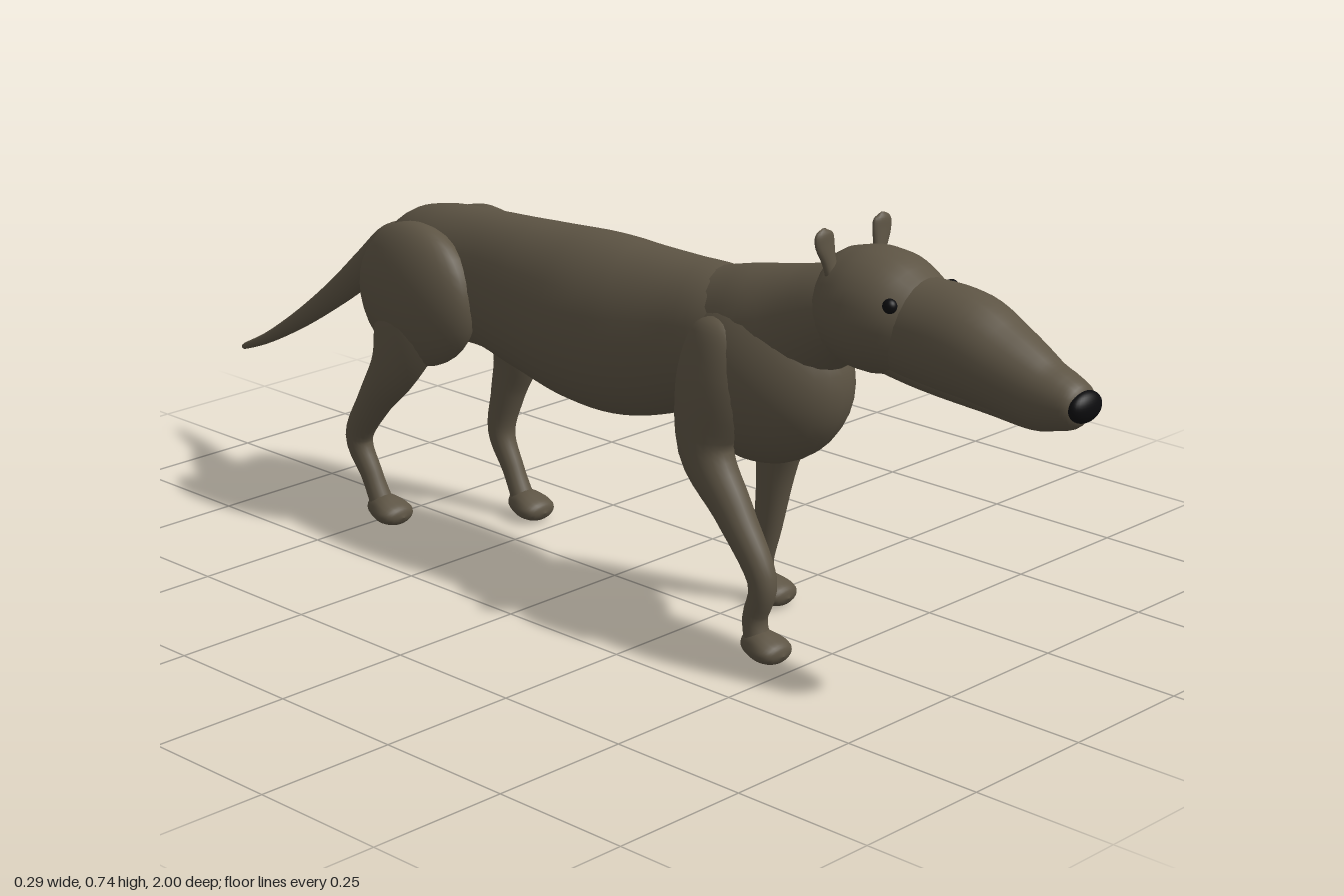
import * as THREE from 'three';

const fur = new THREE.MeshStandardMaterial({ color: 0x5d5444 });
fur.name = 'fur';
const black = new THREE.MeshStandardMaterial({ color: 0x0c0c0e });
black.name = 'black';

// Smooth closed skin through elliptical rows [x, y, z, halfWidth, halfDepth]
function loft(name, rows, steps = 5, sides = 24) {
  const path = new THREE.CatmullRomCurve3(rows.map(r => new THREE.Vector3(r[0], r[1], r[2])), false, 'catmullrom', 0.5);
  const size = new THREE.CatmullRomCurve3(rows.map(r => new THREE.Vector3(r[3], r[4], 0)), false, 'catmullrom', 0.5);
  const n = (rows.length - 1) * steps, pos = [], index = [];
  const X = new THREE.Vector3(1, 0, 0);
  for (let i = 0; i <= n; i++) {
    const c = path.getPoint(i / n), s = size.getPoint(i / n);
    const T = path.getTangent(i / n), N = T.clone().cross(X).normalize();
    const side = N.clone().cross(T).normalize();
    for (let j = 0; j < sides; j++) {
      const a = (j / sides) * Math.PI * 2;
      const p = c.clone()
        .addScaledVector(side, Math.max(s.x, 0.0005) * Math.cos(a))
        .addScaledVector(N, Math.max(s.y, 0.0005) * Math.sin(a));
      pos.push(p.x, p.y, p.z);
      if (i < n) {
        const k = i * sides + j, l = i * sides + (j + 1) % sides;
        index.push(k, l, k + sides, l, l + sides, k + sides);
      }
    }
  }
  // end caps
  const first = path.getPoint(0), last = path.getPoint(1), f = pos.length / 3;
  pos.push(first.x, first.y, first.z, last.x, last.y, last.z);
  for (let j = 0; j < sides; j++) {
    const k = (j + 1) % sides, e = n * sides;
    index.push(f, k, j, f + 1, e + j, e + k);
  }
  const g = new THREE.BufferGeometry();
  g.setAttribute('position', new THREE.Float32BufferAttribute(pos, 3));
  g.setIndex(index);
  g.computeVertexNormals();
  const m = new THREE.Mesh(g, fur);
  m.name = name;
  return m;
}

function ball(name, material, [x, y, z], [rx, ry, rz]) {
  const m = new THREE.Mesh(new THREE.SphereGeometry(1, 28, 18), material);
  m.name = name;
  m.position.set(x, y, z);
  m.scale.set(rx, ry, rz);
  return m;
}

// Paw: narrow heel, broad rounded toes
function paw(name, x, z) {
  return loft(name, [
    [x, 0.026, z - 0.045, 0, 0], [x, 0.026, z - 0.036, 0.018, 0.017],
    [x, 0.027, z - 0.01, 0.03, 0.026], [x, 0.023, z + 0.018, 0.037, 0.022],
    [x, 0.02, z + 0.036, 0.027, 0.015], [x, 0.019, z + 0.043, 0, 0],
  ], 4, 18);
}

function foreLeg(s, lowerZ, elbowZ) {
  const g = new THREE.Group();
  g.name = s > 0 ? 'leftForeleg' : 'rightForeleg';
  g.add(loft('foreLimb', [
    [s * 0.075, 0.56, 0.31, 0, 0], [s * 0.08, 0.53, 0.31, 0.03, 0.05],
    [s * 0.085, 0.44, 0.31, 0.045, 0.075], [s * 0.092, 0.33, 0.3, 0.04, 0.052],
    [s * 0.096, 0.24, elbowZ, 0.032, 0.034], [s * 0.098, 0.14, lowerZ + 0.006, 0.024, 0.025],
    [s * 0.098, 0.07, lowerZ - 0.008, 0.021, 0.021], [s * 0.098, 0.025, lowerZ, 0.023, 0.022],
  ]));
  g.add(paw('forePaw', s * 0.098, lowerZ + 0.013));
  return g;
}

function hindLeg(s, kneeZ, hockZ, footZ) {
  const g = new THREE.Group();
  g.name = s > 0 ? 'leftHindLeg' : 'rightHindLeg';
  g.add(ball('thigh', fur, [s * 0.083, 0.445, -0.405], [0.063, 0.13, 0.138]));
  g.add(loft('hindLimb', [
    [s * 0.085, 0.47, -0.39, 0.04, 0.06], [s * 0.095, 0.39, (kneeZ - 0.39) / 2, 0.048, 0.075],
    [s * 0.108, 0.31, kneeZ, 0.039, 0.05], [s * 0.106, 0.23, kneeZ * 0.45 + hockZ * 0.55, 0.031, 0.033],
    [s * 0.102, 0.15, hockZ, 0.024, 0.026], [s * 0.1, 0.085, hockZ * 0.5 + footZ * 0.5 - 0.006, 0.02, 0.02],
    [s * 0.098, 0.03, footZ - 0.014, 0.022, 0.02],
  ]));
  g.add(paw('hindPaw', s * 0.098, footZ));
  return g;
}

export function createModel() {
  const model = new THREE.Group();
  model.name = 'animal';

  // trunk, chest and neck
  model.add(loft('trunk', [
    [0, 0.49, 0.38, 0.04, 0.05], [0, 0.5, 0.3, 0.09, 0.108], [0, 0.485, 0.18, 0.1, 0.13],
    [0, 0.465, 0.06, 0.113, 0.152], [0, 0.46, -0.05, 0.116, 0.155],
    [0, 0.468, -0.18, 0.1, 0.14], [0, 0.476, -0.3, 0.085, 0.125],
    [0, 0.47, -0.42, 0.085, 0.12], [0, 0.458, -0.5, 0.07, 0.1],
    [0, 0.45, -0.55, 0.04, 0.06], [0, 0.45, -0.565, 0, 0],
  ]));
  model.add(ball('chest', fur, [0, 0.455, 0.34], [0.115, 0.155, 0.172]));
  model.add(loft('neck', [
    [0, 0.5, 0.25, 0.085, 0.11], [0, 0.525, 0.35, 0.09, 0.11], [0, 0.56, 0.44, 0.082, 0.093],
    [0, 0.592, 0.52, 0.08, 0.08], [0, 0.605, 0.6, 0.08, 0.08],
  ]));

  // skull and muzzle
  model.add(loft('skull', [
    [0, 0.605, 0.48, 0.03, 0.03], [0, 0.605, 0.505, 0.074, 0.08], [0, 0.608, 0.55, 0.094, 0.098],
    [0, 0.608, 0.6, 0.097, 0.101], [0, 0.6, 0.65, 0.086, 0.088], [0, 0.592, 0.7, 0.06, 0.07],
  ]));
  model.add(loft('muzzle', [
    [0, 0.6, 0.6, 0.07, 0.08], [0, 0.593, 0.68, 0.078, 0.086], [0, 0.587, 0.76, 0.077, 0.088],
    [0, 0.568, 0.83, 0.068, 0.074], [0, 0.546, 0.9, 0.053, 0.06], [0, 0.541, 0.945, 0.045, 0.047],
    [0, 0.539, 0.975, 0.036, 0.034], [0, 0.538, 0.988, 0.01, 0.01],
  ]));
  model.add(loft('lowerJaw', [
    [0, 0.55, 0.58, 0.05, 0.035], [0, 0.537, 0.7, 0.057, 0.036], [0, 0.525, 0.82, 0.047, 0.033],
    [0, 0.512, 0.9, 0.035, 0.027], [0, 0.515, 0.93, 0.022, 0.019], [0, 0.518, 0.942, 0, 0],
  ]));
  model.add(ball('nose', black, [0, 0.541, 0.983], [0.036, 0.025, 0.017]));

  // tapering tail
  model.add(loft('tail', [
    [0, 0.49, -0.51, 0.04, 0.05], [0, 0.485, -0.56, 0.035, 0.042], [0, 0.435, -0.63, 0.027, 0.033],
    [0, 0.365, -0.72, 0.02, 0.025], [0, 0.295, -0.82, 0.015, 0.018],
    [0, 0.235, -0.92, 0.011, 0.011], [0, 0.2, -0.995, 0.006, 0.006], [0, 0.198, -1, 0, 0],
  ]));

  // mirrored ears and eyes
  for (const s of [1, -1]) {
    const side = s > 0 ? 'left' : 'right';
    model.add(loft(side + 'Ear', [
      [s * 0.056, 0.665, 0.53, 0.013, 0.009], [s * 0.062, 0.69, 0.528, 0.015, 0.008],
      [s * 0.068, 0.715, 0.525, 0.021, 0.008], [s * 0.07, 0.732, 0.524, 0.019, 0.007],
      [s * 0.07, 0.741, 0.524, 0.004, 0.002],
    ], 4, 16));
    model.add(ball(side + 'Eye', black, [s * 0.075, 0.646, 0.664], [0.011, 0.012, 0.012]));
  }

  // legs in mid-stride
  model.add(foreLeg(1, 0.262, 0.285), foreLeg(-1, 0.425, 0.365));
  model.add(hindLeg(1, -0.355, -0.39, -0.315), hindLeg(-1, -0.44, -0.55, -0.48));
  return model;
}
